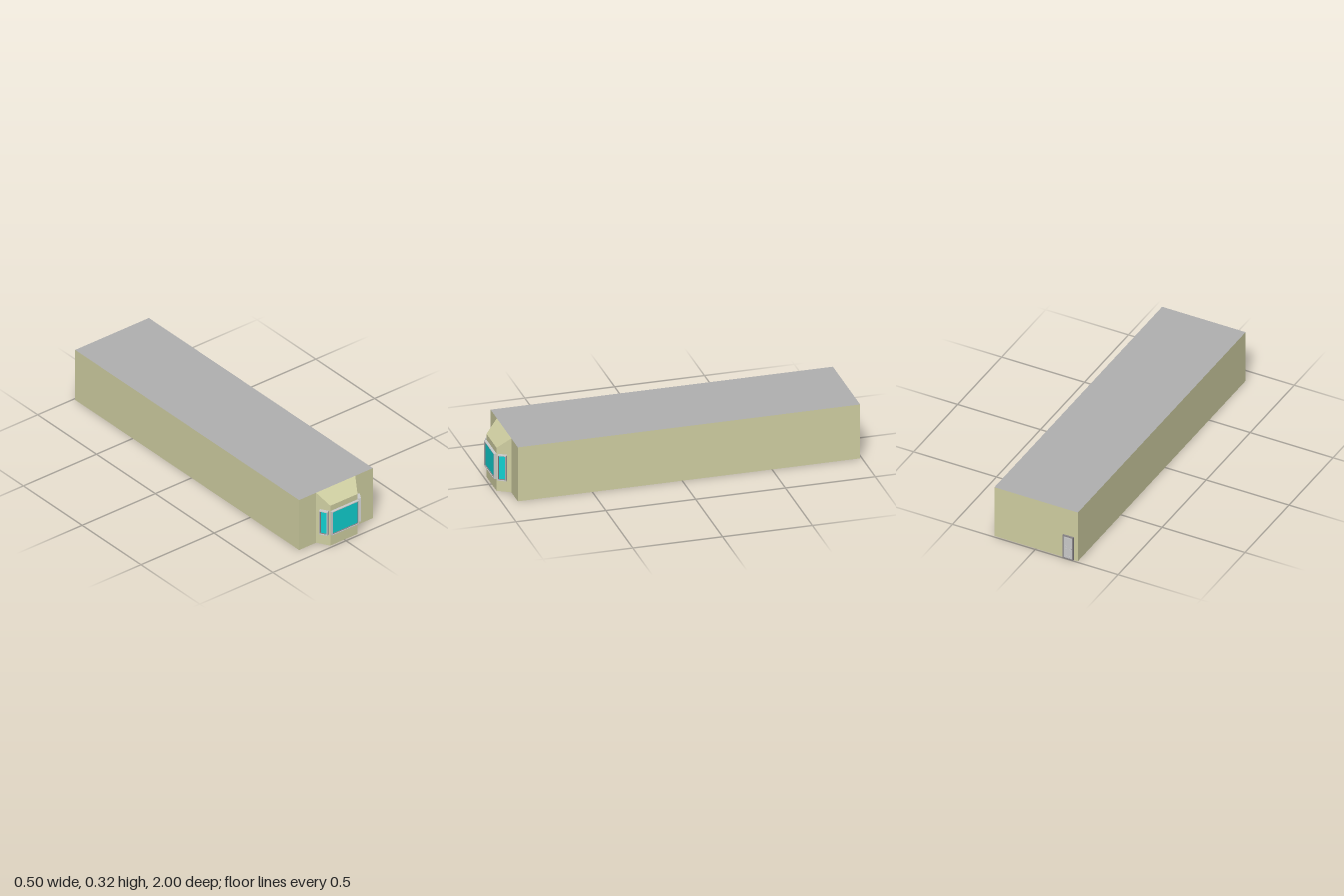
import * as THREE from 'three';

const mat = (color) => new THREE.MeshStandardMaterial({ color });
const wall = mat(0xd0cfa2), roof = mat(0xb0b0b0), floor = mat(0x5a6c6c);
const grey = mat(0xcccccc), trim = mat(0x8a8688), glass = mat(0x10d0d0);

function add(parent, name, geometry, material, x = 0, y = 0, z = 0) {
  const mesh = new THREE.Mesh(geometry, material);
  mesh.name = name;
  mesh.position.set(x, y, z);
  parent.add(mesh);
  return mesh;
}

// Rectangular ring w x h with bars of the given width, extruded along +z
function ring(w, h, bar, depth) {
  const rect = (T, a, b) => new T([[-a, -b], [a, -b], [a, b], [-a, b]].map((p) => new THREE.Vector2(...p)));
  const shape = rect(THREE.Shape, w / 2, h / 2);
  shape.holes.push(rect(THREE.Path, w / 2 - bar, h / 2 - bar));
  return new THREE.ExtrudeGeometry(shape, { depth, bevelEnabled: false });
}

// Window with its back on z = 0, facing +z
function makeWindow(name, w, h, depth) {
  const g = new THREE.Group();
  g.name = name;
  add(g, 'outerFrame', ring(w, h, 0.004, depth), grey);
  add(g, 'innerFrame', ring(w - 0.008, h - 0.008, 0.003, depth * 0.75), trim);
  add(g, 'glass', new THREE.BoxGeometry(w - 0.014, h - 0.014, depth * 0.5), glass, 0, 0, depth * 0.25);
  return g;
}

// Bay with splayed sides and a sloping roof
function makeBay() {
  const g = new THREE.Group();
  g.name = 'bay';
  const plan = [[-0.134, 0.915], [-0.093, 0.985], [0.093, 0.985], [0.134, 0.915]];
  const heights = [0.316, 0.252, 0.252, 0.316];
  const low = plan.map(([x, z]) => [x, 0, z]);
  const high = plan.map(([x, z], i) => [x, heights[i], z]);
  const points = [];
  const quad = (a, b, c, d) => points.push(...a, ...b, ...c, ...a, ...c, ...d);
  for (let i = 0; i < 3; i++) quad(low[i], low[i + 1], high[i + 1], high[i]);
  quad(...high);
  const shell = new THREE.BufferGeometry();
  shell.setAttribute('position', new THREE.Float32BufferAttribute(points, 3));
  shell.computeVertexNormals();
  add(g, 'bayWalls', shell, wall);

  const base = new THREE.Shape(plan.map((p) => new THREE.Vector2(...p)));
  add(g, 'bayFloor', new THREE.ShapeGeometry(base).rotateX(Math.PI / 2), floor);

  const front = makeWindow('frontWindow', 0.184, 0.148, 0.015);
  front.position.set(0, 0.144, 0.985);
  g.add(front);
  for (const s of [-1, 1]) {
    const side = makeWindow(s > 0 ? 'leftWindow' : 'rightWindow', 0.049, 0.148, 0.021);
    side.position.set(s * 0.1095, 0.144, 0.956);
    side.rotation.y = s * Math.atan2(0.07, 0.041);
    g.add(side);
  }
  g.position.x = -0.002;
  return g;
}

// Panelled door, standing on y = 0 and facing +z before it is turned
function makeDoor() {
  const g = new THREE.Group();
  g.name = 'backDoor';
  add(g, 'doorFrame', ring(0.064, 0.148, 0.005, 0.01), trim, 0, 0.074);
  add(g, 'doorLeaf', new THREE.BoxGeometry(0.054, 0.138, 0.006), grey, 0, 0.074, 0.003);
  for (const x of [-0.012, 0.012]) {
    for (const [y, h] of [[0.039, 0.048], [0.106, 0.056]]) {
      add(g, 'doorPanel', ring(0.018, h, 0.003, 0.0015), grey, x, y, 0.006);
    }
  }
  add(g, 'doorKnob', new THREE.SphereGeometry(0.002, 12, 8), trim, 0.023, 0.07, 0.0075);
  g.rotation.y = Math.PI;
  g.position.set(-0.196, 0, -0.99);
  return g;
}

export function createModel() {
  const model = new THREE.Group();
  model.name = 'building';
  // Main block: walls all round, grey roof, dark floor
  add(model, 'mainBlock', new THREE.BoxGeometry(0.504, 0.316, 1.905),
    [wall, wall, roof, floor, wall, wall], 0, 0.158, -0.0375);
  model.add(makeBay(), makeDoor());
  return model;
}
